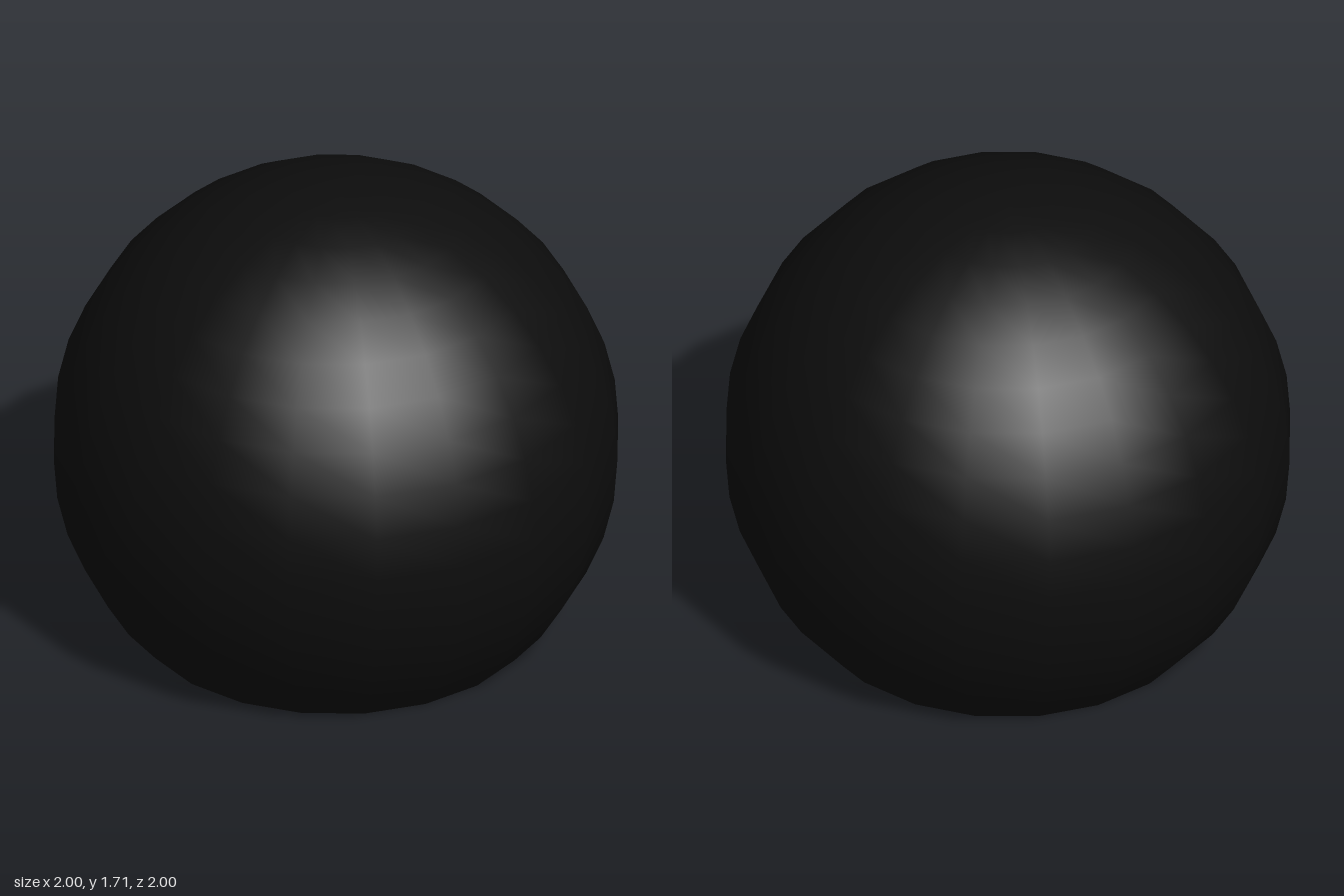
import * as THREE from 'three';

const black = new THREE.MeshStandardMaterial({ color: 0x0d0d0d });
black.name = 'black';
const water = new THREE.MeshStandardMaterial({ color: 0x344654, side: THREE.DoubleSide });
water.name = 'water blue';

const CENTRE = Math.SQRT1_2; // the globe is cut 45 degrees below its equator
const INNER = 0.96;

function part(name, geometry, material = black) {
  const mesh = new THREE.Mesh(geometry, material);
  mesh.name = name;
  return mesh;
}

// Thin plate cut from an outline, centred on its own thickness
function fin(name, outline) {
  const shape = new THREE.Shape(outline.map(([x, y]) => new THREE.Vector2(x, y)));
  const geometry = new THREE.ExtrudeGeometry(shape, { depth: 0.01, bevelEnabled: false });
  return part(name, geometry.translate(0, 0, -0.005));
}

const dome = (radius) =>
  new THREE.SphereGeometry(radius, 20, 15, 0, Math.PI * 2, 0, Math.PI * 0.75).translate(0, CENTRE, 0);

// Shark swimming toward its own +x
function createShark(name) {
  const shark = new THREE.Group();
  shark.name = name;

  // Round tapering body, tail to nose
  const profile = [[0, -0.23], [0.012, -0.2], [0.03, -0.1], [0.048, 0], [0.057, 0.09],
    [0.052, 0.17], [0.036, 0.24], [0.018, 0.28], [0, 0.295]];
  const curve = new THREE.SplineCurve(profile.map(([r, y]) => new THREE.Vector2(r, y)));
  const points = curve.getPoints(24).map((p) => new THREE.Vector2(Math.max(p.x, 0), p.y));
  shark.add(part('body', new THREE.LatheGeometry(points, 14).rotateZ(-Math.PI / 2)));

  // Fins standing in the middle plane
  shark.add(
    fin('dorsalFin', [[0.14, 0.03], [0.08, 0.11], [0.065, 0.105], [0.06, 0.07], [0.02, 0.03]]),
    fin('rearDorsalFin', [[-0.11, 0.015], [-0.155, 0.055], [-0.15, 0.015]]),
    fin('analFin', [[-0.12, -0.015], [-0.165, -0.045], [-0.16, -0.01]]),
    fin('tailFin', [[-0.19, 0.012], [-0.24, 0.04], [-0.295, 0.11], [-0.29, 0.06], [-0.265, 0.005],
      [-0.3, -0.045], [-0.25, -0.035], [-0.19, -0.012]]),
  );

  // Paired fins, angled out and down
  for (const side of [1, -1]) {
    const pectoral = fin('pectoralFin', [[0.15, 0], [0.06, 0.15], [0.04, 0.14], [0.06, 0]]);
    pectoral.position.set(0, -0.025, side * 0.03);
    pectoral.rotation.x = side * 1.95;
    const pelvic = fin('pelvicFin', [[-0.05, 0], [-0.11, 0.06], [-0.1, 0]]);
    pelvic.position.set(0, -0.02, side * 0.015);
    pelvic.rotation.x = side * 2.1;
    shark.add(pectoral, pelvic);
  }
  return shark;
}

export function createModel() {
  const model = new THREE.Group();
  model.name = 'globe';

  // Outer shell, inner lining and the rim that joins them
  model.add(part('outerShell', dome(1)));
  model.add(part('innerLining', dome(INNER), water));
  const rim = [
    new THREE.Vector2(CENTRE * INNER, CENTRE * (1 - INNER)),
    new THREE.Vector2(CENTRE, 0),
  ];
  model.add(part('rim', new THREE.LatheGeometry(rim, 20)));

  // Sharks swimming inside
  const lowShark = createShark('lowShark');
  lowShark.position.set(0.16, 0.36, 0.45);
  lowShark.rotation.y = Math.PI / 4;
  const highShark = createShark('highShark');
  highShark.position.set(0.55, 0.64, -0.1);
  highShark.rotation.y = Math.PI / 4;
  model.add(lowShark, highShark);

  return model;
}
